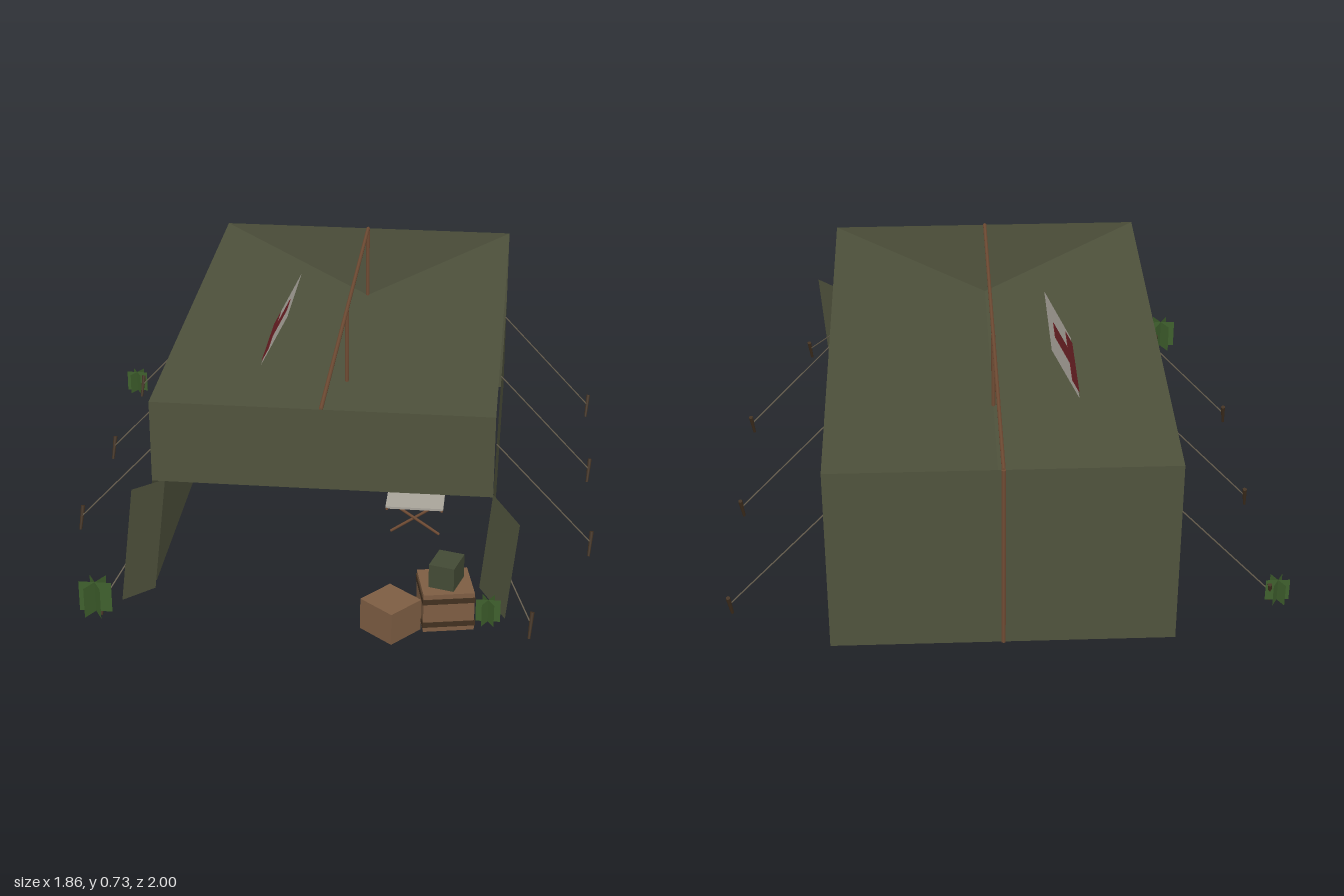
import * as THREE from 'three';

const mat = (name, color, side = THREE.FrontSide) => {
  const m = new THREE.MeshStandardMaterial({ color, side });
  m.name = name;
  return m;
};
const M = {
  canvas: mat('olive canvas', 0x50533d, THREE.DoubleSide),
  wood: mat('pole wood', 0x704c34),
  crate: mat('crate wood', 0x7d5d43),
  strap: mat('dark strap', 0x41301f),
  olive: mat('olive box', 0x434a35),
  cloth: mat('pale cloth', 0xa8a49a, THREE.DoubleSide),
  red: mat('cross red', 0x6a2024, THREE.DoubleSide),
  grass: mat('grass', 0x3f602d, THREE.DoubleSide),
  rope: mat('rope', 0x6b6252),
};
const V = (x, y, z) => new THREE.Vector3(x, y, z);

function add(parent, name, geo, material, x = 0, y = 0, z = 0) {
  const m = new THREE.Mesh(geo, material);
  m.name = name;
  m.position.set(x, y, z);
  parent.add(m);
  return m;
}
const box = (p, name, w, h, d, material, x, y, z) =>
  add(p, name, new THREE.BoxGeometry(w, h, d), material, x, y, z);

// Flat sheet through four corners
function sheet(p, name, a, b, c, d, material) {
  const geo = new THREE.BufferGeometry().setFromPoints([a, b, c, a, c, d]);
  geo.computeVertexNormals();
  return add(p, name, geo, material);
}

// Straight rod between two points
function rod(p, name, a, b, r, material, sides = 6, r2 = r) {
  const dir = b.clone().sub(a);
  const m = add(p, name, new THREE.CylinderGeometry(r2, r, dir.length(), sides), material);
  m.position.copy(a).add(b).multiplyScalar(0.5);
  m.quaternion.setFromUnitVectors(V(0, 1, 0), dir.normalize());
  return m;
}

function group(parent, name, x = 0, y = 0, z = 0, ry = 0) {
  const g = new THREE.Group();
  g.name = name;
  g.position.set(x, y, z);
  g.rotation.y = ry;
  parent.add(g);
  return g;
}

// Square cloth with a cross, facing local +z
function crossPanel(parent, name, w, h, arm, thick) {
  const g = group(parent, name);
  add(g, 'panelCloth', new THREE.PlaneGeometry(w, h), M.cloth);
  const l = arm / 2, t = thick / 2;
  const pts = [[-t, -l], [t, -l], [t, -t], [l, -t], [l, t], [t, t], [t, l], [-t, l], [-t, t], [-l, t], [-l, -t], [-t, -t]];
  const shape = new THREE.Shape(pts.map(([x, y]) => new THREE.Vector2(x, y)));
  add(g, 'panelCross', new THREE.ExtrudeGeometry(shape, { depth: 0.002, bevelEnabled: false }), M.red, 0, 0, 0.001);
  return g;
}

function cot(parent, name, x, z) {
  const g = group(parent, name, x, 0, z);
  const L = 0.26;
  box(g, 'cotCanvas', 0.2, 0.008, 2 * L, M.cloth, 0, 0.148, 0);
  for (const s of [-1, 1]) {
    rod(g, 'cotRail', V(s * 0.095, 0.143, -L), V(s * 0.095, 0.143, L), 0.005, M.wood);
    for (const k of [-0.2, 0, 0.2])
      rod(g, 'cotLeg', V(s * 0.085, 0.022, k + s * 0.004), V(-s * 0.09, 0.143, k + s * 0.004), 0.005, M.wood);
  }
}

function grassTuft(parent, x, z, s) {
  const g = group(parent, 'grassTuft', x, 0.02 + s / 2, z);
  for (let i = 0; i < 3; i++)
    add(g, 'grassBlade', new THREE.PlaneGeometry(s, s), M.grass).rotation.y = (i * Math.PI) / 3;
}

export function createModel() {
  const root = new THREE.Group();
  root.name = 'fieldTent';
  const L = -0.53, R = 0.585, C = 0.027, F = 0.68, B = -0.995;
  const floor = 0.02, eave = 0.4, top = 0.685;

  // Canvas walls: low sides, full back, short front valance
  const tent = group(root, 'tent');
  for (const [n, x] of [['rightWall', L], ['leftWall', R]])
    sheet(tent, n, V(x, floor, B), V(x, floor, F), V(x, eave, F), V(x, eave, B), M.canvas);
  sheet(tent, 'backWall', V(R, floor, B), V(L, floor, B), V(L, top, B), V(R, top, B), M.canvas);
  sheet(tent, 'frontValance', V(L, eave, F), V(R, eave, F), V(R, top, F), V(L, top, F), M.canvas);

  // Roof halves fall from the outer edges to a middle valley
  sheet(tent, 'rightRoof', V(L, top, B), V(L, top, F), V(C, eave, F), V(C, eave, B), M.canvas);
  sheet(tent, 'leftRoof', V(C, eave, B), V(C, eave, F), V(R, top, F), V(R, top, B), M.canvas);

  // Open door flaps
  sheet(tent, 'leftFlap', V(0.585, 0.415, 0.69), V(0.55, 0.035, 0.635), V(0.64, 0.005, 0.775), V(0.675, 0.385, 0.83), M.canvas);
  sheet(tent, 'rightFlap', V(-0.495, 0.385, 0.64), V(-0.58, 0.41, 0.77), V(-0.615, 0.03, 0.83), V(-0.53, 0.005, 0.7), M.canvas);

  // Ridge beam and upright poles
  rod(tent, 'ridgePole', V(C, top, B), V(C, top, F), 0.007, M.wood);
  for (const z of [B, -0.16]) rod(tent, 'uprightPole', V(C, floor, z), V(C, top, z), 0.008, M.wood);

  // Cross panels on the roof and on the right wall
  const roofPanel = crossPanel(root, 'roofPanel', 0.41, 0.42, 0.33, 0.1);
  roofPanel.position.set(-0.255, 0.548, -0.155);
  roofPanel.rotation.set(-0.47, -Math.PI / 2, 0, 'YXZ');
  const wallPanel = crossPanel(root, 'wallPanel', 0.29, 0.33, 0.25, 0.08);
  wallPanel.position.set(L - 0.004, 0.21, -0.145);
  wallPanel.rotation.y = -Math.PI / 2;

  // Guy ropes and stakes, mirrored about the tent's middle
  const lines = [-0.8, -0.24, 0.315].map((z) => [0.558, 0.41, z, 0.893, z]);
  lines.push([0.565, 0.24, 0.69, 0.697, 0.87]);
  for (const s of [-1, 1])
    for (const [x0, y0, z0, x1, z1] of lines) {
      const X = C + s * x1;
      rod(root, 'guyRope', V(C + s * x0, y0, z0), V(X, 0.05, z1), 0.0025, M.rope, 4);
      rod(root, 'stake', V(X - 0.004, 0.003, z1 + 0.014), V(X + 0.003, 0.085, z1 - 0.014), 0.005, M.strap, 6, 0.008);
    }

  // Crates outside the door
  const plain = group(root, 'plainCrate', 0.275, 0.075, 0.898, -0.7);
  box(plain, 'crateBody', 0.14, 0.11, 0.135, M.crate, 0, 0, 0);
  const big = group(root, 'strappedCrate', 0.445, 0.0875, 0.81, 0.2);
  box(big, 'crateBody', 0.165, 0.135, 0.165, M.crate, 0, 0, 0);
  for (const y of [-0.042, 0.042]) box(big, 'crateStrap', 0.17, 0.018, 0.17, M.strap, 0, y, 0);
  const small = group(root, 'smallBox', 0.447, 0.196, 0.812, -0.27);
  box(small, 'boxBody', 0.085, 0.082, 0.105, M.olive, 0, 0, 0);

  // Supplies stacked inside
  const store = group(root, 'supplyBox', 0.385, 0.128, -0.72, 0.06);
  box(store, 'boxBody', 0.25, 0.216, 0.25, M.olive, 0, 0, 0);
  const pack = group(root, 'supplyCrate', 0.335, 0.268, -0.7, 0.15);
  box(pack, 'crateBody', 0.12, 0.065, 0.11, M.crate, 0, 0, 0);
  for (const x of [-0.035, 0.035]) box(pack, 'crateStrap', 0.01, 0.069, 0.114, M.strap, x, 0, 0);

  // Cots
  cot(root, 'rightCot', -0.25, -0.28);
  cot(root, 'leftCot', 0.31, 0.06);

  // Table with a lantern
  const table = group(root, 'table', -0.305, 0, -0.75);
  box(table, 'tableTop', 0.155, 0.01, 0.155, M.wood, 0, 0.18, 0);
  for (const x of [-1, 1])
    for (const z of [-1, 1]) box(table, 'tableLeg', 0.01, 0.156, 0.01, M.wood, x * 0.068, 0.098, z * 0.068);
  add(table, 'lantern', new THREE.CylinderGeometry(0.009, 0.011, 0.05, 10), M.cloth, 0, 0.21, 0);

  // Grass tufts by the stakes
  grassTuft(root, -0.69, 0.89, 0.108);
  grassTuft(root, -0.89, -0.81, 0.08);
  grassTuft(root, 0.585, 0.82, 0.08);

  return root;
}
